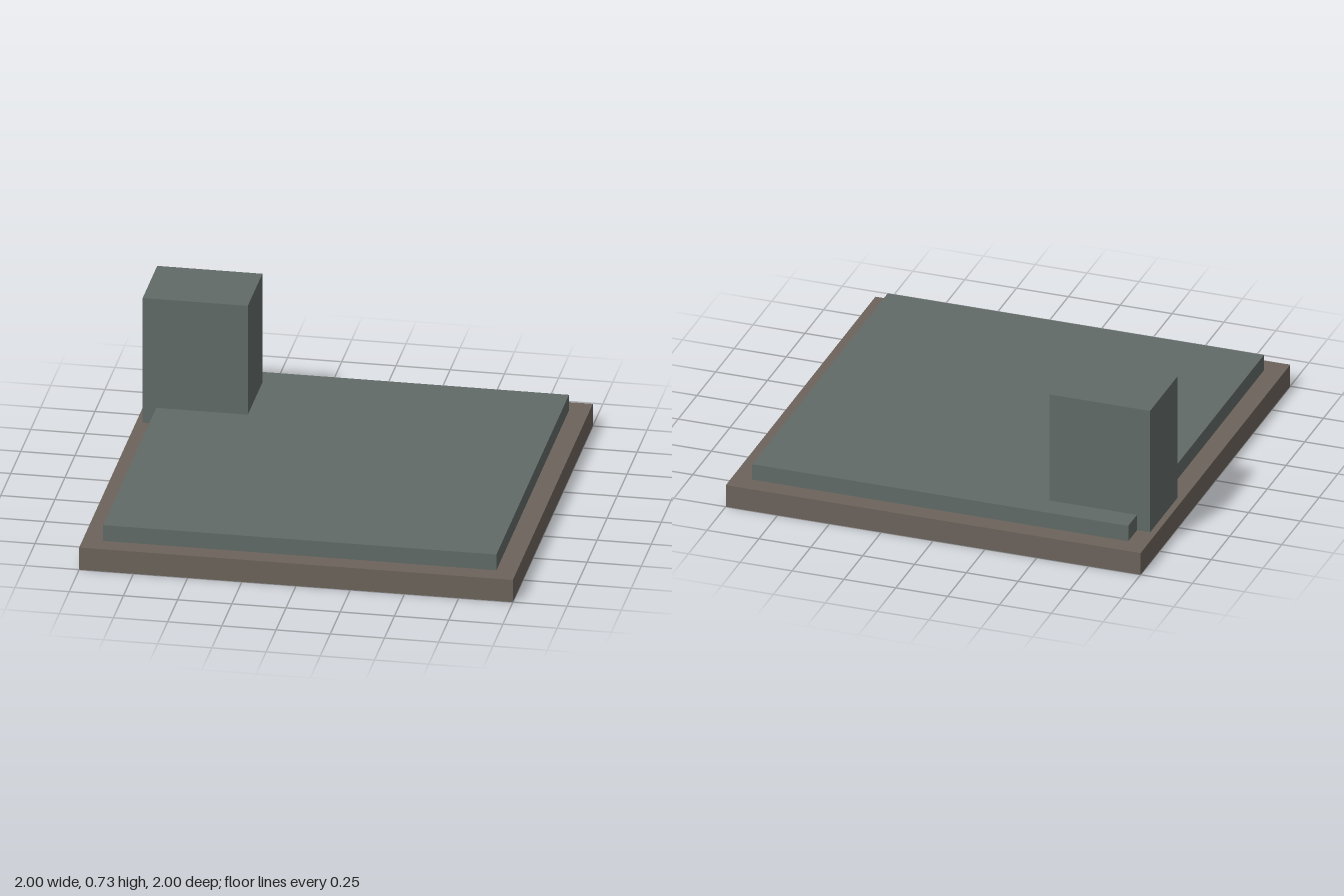
import * as THREE from 'three';

export function createModel() {
  const model = new THREE.Group();
  const earth = new THREE.MeshStandardMaterial({ color: 0x6b635b });
  const slate = new THREE.MeshStandardMaterial({ color: 0x606a66 });

  // Box given by its lower and upper corners
  function block(name, material, [x0, y0, z0], [x1, y1, z1]) {
    const mesh = new THREE.Mesh(new THREE.BoxGeometry(x1 - x0, y1 - y0, z1 - z0), material);
    mesh.position.set((x0 + x1) / 2, (y0 + y1) / 2, (z0 + z1) / 2);
    mesh.name = name;
    model.add(mesh);
  }

  // Square base, raised slab, and a tower overhanging the slab's edge
  block('base', earth, [-1, 0, -1], [1, 0.11, 1]);
  block('slab', slate, [-0.907, 0.11, -0.907], [0.907, 0.188, 0.907]);
  block('tower', slate, [-0.97, 0.11, -0.79], [-0.485, 0.728, -0.425]);

  return model;
}
